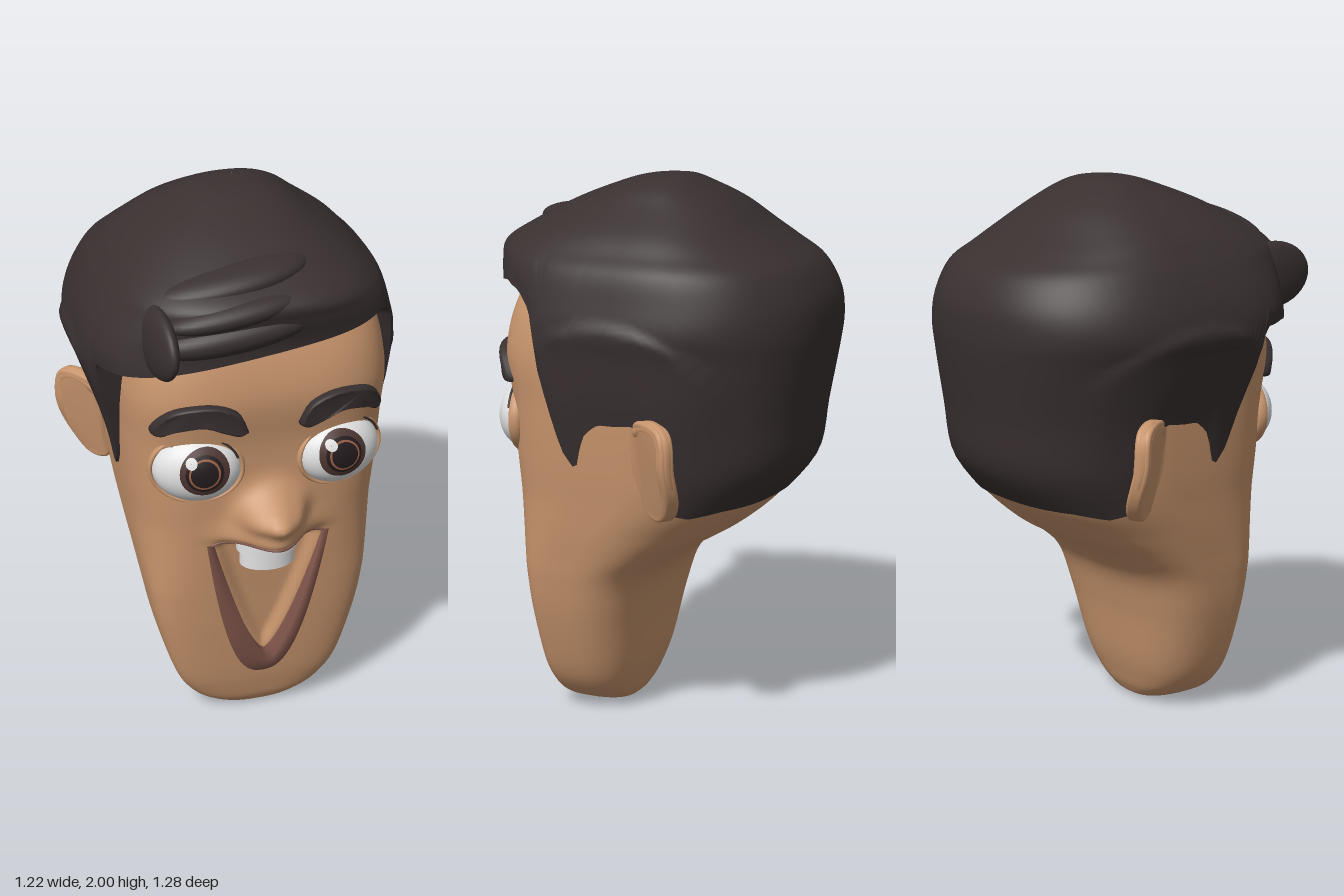
import * as THREE from 'three';
import { mergeVertices } from 'three/addons/utils/BufferGeometryUtils.js';

const paint = (name, color, side = THREE.FrontSide) => {
  const m = new THREE.MeshStandardMaterial({ color, side });
  m.name = name;
  return m;
};
const { smoothstep, lerp, clamp } = THREE.MathUtils;
const gauss = (d, s) => Math.exp(-((d / s) ** 2));
const sPow = (v, e) => Math.sign(v) * Math.abs(v) ** e;

// Skin sections: y, half width, front z, back z, front squareness (lower is squarer)
const skinSections = [
  [0, 0.001, 0.22, 0.219, 0.75], [0.005, 0.1, 0.31, 0.12, 0.74], [0.04, 0.19, 0.345, 0.085, 0.7],
  [0.1, 0.26, 0.365, 0.06, 0.64], [0.2, 0.315, 0.385, 0.03, 0.58], [0.4, 0.375, 0.41, -0.01, 0.54],
  [0.55, 0.405, 0.425, -0.06, 0.52], [0.65, 0.42, 0.435, -0.16, 0.52], [0.75, 0.435, 0.445, -0.32, 0.52],
  [0.87, 0.45, 0.455, -0.45, 0.52], [1, 0.465, 0.465, -0.52, 0.52], [1.2, 0.48, 0.475, -0.55, 0.52],
  [1.4, 0.485, 0.5, -0.56, 0.53], [1.6, 0.44, 0.45, -0.52, 0.56], [1.75, 0.32, 0.35, -0.4, 0.7], [1.83, 0.001, 0, -0.001, 0.75],
].map(([y, w, f, b, e]) => [y, w, w, f, b, lerp(b, f, clamp(0.76 - 0.3 * y, 0.5, 0.7)), e, y < 0.7 ? 0.7 : 0.85]);

// Hair sections: y, right width, left width, front z, back z, front squareness
const hairSections = [
  [0.83, 0.458, 0.458, 0.48, -0.43, 0.56], [1, 0.48, 0.48, 0.48, -0.565, 0.56], [1.2, 0.505, 0.498, 0.49, -0.6, 0.56],
  [1.4, 0.565, 0.512, 0.515, -0.63, 0.57], [1.5, 0.598, 0.524, 0.52, -0.637, 0.58], [1.6, 0.58, 0.505, 0.52, -0.625, 0.6],
  [1.7, 0.53, 0.475, 0.55, -0.57, 0.68], [1.76, 0.485, 0.42, 0.555, -0.48, 0.7], [1.82, 0.43, 0.36, 0.47, -0.385, 0.75],
  [1.9, 0.32, 0.25, 0.32, -0.28, 0.8], [1.96, 0.2, 0.17, 0.17, -0.17, 0.85], [1.99, 0.12, 0.09, 0.07, -0.1, 0.9],
  [2, 0.001, 0.001, -0.039, -0.041, 0.9],
].map(([y, r, l, f, b, e]) => [y, r, l, f, b, -0.04, e, 0.87]);

// Smooth section at a fractional index, and the index at a height
function sectionAt(list, u) {
  const i = Math.min(Math.floor(u), list.length - 2), t = u - i;
  const [a, b, c, d] = [-1, 0, 1, 2].map((k) => list[clamp(i + k, 0, list.length - 1)]);
  return b.map((p, k) => p + 0.5 * t * (c[k] - a[k] + t * (2 * a[k] - 5 * p + 4 * c[k] - d[k] + t * (3 * (p - c[k]) + d[k] - a[k]))));
}
function indexAt(list, y) {
  let lo = 0, hi = list.length - 1;
  for (let n = 0; n < 24; n++) {
    const mid = (lo + hi) / 2;
    if (sectionAt(list, mid)[0] < y) lo = mid; else hi = mid;
  }
  return lo;
}
function ringPoint([y, wr, wl, f, b, c, ef, eb], a) {
  const front = Math.cos(a) > 0, e = front ? ef : eb;
  const s = sPow(Math.sin(a), e), k = sPow(Math.cos(a), e);
  return [s * Math.max(0, s < 0 ? wr : wl), y, c + k * (front ? f - c : c - b)];
}

// Nose, upper lip and hollow mouth, as an offset in z
function relief(x, y) {
  const nose = 0.165 * gauss(x, 0.08) * gauss(y - 0.945, y > 0.945 ? 0.075 : 0.055);
  const wings = 0.045 * (gauss(x - 0.085, 0.04) + gauss(x + 0.085, 0.04)) * gauss(y - 0.94, 0.05);
  const lip = 0.14 * gauss(x, 0.12) * smoothstep(y, 0.8, 0.85) * gauss(y - 0.85, 0.06);
  const half = y > 0.3 ? 0.2 * ((y - 0.3) / 0.5) ** 0.7 : 0;
  const mouth = -0.03 * smoothstep(half - Math.abs(x), 0, 0.05) * (1 - smoothstep(y, 0.79, 0.83));
  return nose + wings + lip + mouth;
}
function faceZ(x, y, bumps = true) {
  const [, w, , f, , c, e] = sectionAt(skinSections, indexAt(skinSections, y));
  const r = Math.min(1, Math.abs(x) / w) ** (2 / e);
  return c + (f - c) * (1 - r) ** (e / 2) + (bumps ? relief(x, y) : 0);
}

// Closed surface wrapped round the y axis; point(angle, row) gives a position
function wrap(cols, rows, point) {
  const pos = [], index = [];
  for (let j = 0; j <= rows; j++) for (let i = 0; i < cols; i++) {
    const q = (i / cols) * 4, t = q % 1, p = t ** 1.6, r = (1 - t) ** 1.6;
    let a = (Math.floor(q) + p / (p + r)) * Math.PI / 2;
    if (a > Math.PI) a -= 2 * Math.PI;
    pos.push(...point(a, j));
    if (j < rows) {
      const A = j * cols + i, B = j * cols + (i + 1) % cols;
      index.push(A, B, B + cols, A, B + cols, A + cols);
    }
  }
  return surface(pos, index);
}
function surface(pos, index) {
  const g = new THREE.BufferGeometry();
  g.setAttribute('position', new THREE.Float32BufferAttribute(pos, 3));
  g.setIndex(index);
  g.computeVertexNormals();
  return g;
}
// Move vertices by a rule and smooth the result
function mapVertices(source, rule) {
  source.deleteAttribute('normal');
  source.deleteAttribute('uv');
  const g = mergeVertices(source), p = g.attributes.position;
  for (let i = 0; i < p.count; i++) p.setXYZ(i, ...rule(p.getX(i), p.getY(i), p.getZ(i)));
  g.computeVertexNormals();
  return g;
}

// Hairline height by degrees from the front: temple, sideburn, ear, nape
const hairline = [[40, 1.66], [58, 1.61], [66, 1.56], [69, 1.5], [69.6, 1.42], [72.5, 1.32], [75, 1.22], [79, 1.07],
  [83.5, 1], [84.8, 1.05], [85.8, 1.12], [89.2, 1.18], [97, 1.19], [106, 1], [111, 0.87], [124, 0.85], [141, 0.87], [180.1, 0.88]];
function hairlineAt(a) {
  const deg = Math.abs(a) * 180 / Math.PI;
  const front = 1.575 + 0.165 * 0.5 * sPow(Math.sin(a), 0.6);
  if (deg < 40) return front;
  const k = hairline.findIndex(([d]) => d > deg), [d0, y0] = hairline[k - 1], [d1, y1] = hairline[k];
  return Math.min(front, lerp(y0, y1, (deg - d0) / (d1 - d0)));
}

export function createModel() {
  const model = new THREE.Group();
  model.name = 'head';
  const skin = paint('skin', 0xc8956d), hair = paint('hair', 0x393030);
  const white = paint('white', 0xe2e2e2), iris = paint('iris', 0x4c3531);
  const ring = paint('irisRing', 0x9a5f45), pupil = paint('pupil', 0x241b1d);
  const lipRed = paint('lip', 0x80554a, THREE.DoubleSide);
  const add = (name, geo, mat, parent = model) => {
    const m = new THREE.Mesh(geo, mat);
    m.name = name;
    parent.add(m);
    return m;
  };

  // Face and skull
  const steps = 10, skinRows = (skinSections.length - 1) * steps;
  const rowSections = Array.from({ length: skinRows + 1 }, (_, j) => sectionAt(skinSections, j / steps));
  add('face', wrap(200, skinRows, (a, j) => {
    const [x, y, z] = ringPoint(rowSections[j], a);
    return [x, y, z + (Math.cos(a) > 0 ? relief(x, y) : 0)];
  }), skin);

  // Hair cap with raised side panels; its first row tucks into the skin
  const hairRows = 60, top = hairSections.length - 1;
  add('hairCap', wrap(200, hairRows, (a, j) => {
    const y0 = hairlineAt(a);
    if (j === 0) {
      const [x, y, z] = ringPoint(sectionAt(skinSections, indexAt(skinSections, y0)), a);
      return [x * 0.97, y, z * 0.97];
    }
    const t = Math.max(0, j - 2) / (hairRows - 2);
    const [x, y, z] = ringPoint(sectionAt(hairSections, lerp(indexAt(hairSections, y0), top, t)), a);
    const arc = 1.53 - 1.1 * (z + 0.02) ** 2;
    const panel = 0.014 * (1 - smoothstep(y, arc - 0.02, arc + 0.02)) * smoothstep(Math.abs(Math.sin(a)), 0.7, 0.9) * smoothstep(y, 1, 1.3);
    const taper = Math.abs(a) > 0.9 ? lerp(0.99, 1, smoothstep(t, 0, 0.08)) : 1;
    return [(x + Math.sign(x) * panel) * taper, y, z * taper];
  }), hair);

  // Swept rolls and the forelock over the brow
  const lock = (name, at, size, tilt, turn = 0) => {
    const m = add(name, new THREE.SphereGeometry(1, 32, 20), hair);
    m.position.set(...at);
    m.scale.set(...size);
    m.rotation.set(0, turn, tilt);
  };
  lock('lowerRoll', [-0.13, 1.65, 0.475], [0.28, 0.065, 0.09], 0.15, -0.06);
  lock('upperRoll', [-0.13, 1.735, 0.485], [0.24, 0.05, 0.09], 0.15);
  lock('topRoll', [-0.12, 1.8, 0.37], [0.27, 0.06, 0.13], 0.16);
  lock('forelock', [-0.39, 1.64, 0.44], [0.045, 0.12, 0.195], -0.06, 0.1);

  // Lower lip: a V-shaped band, turned out at the bottom
  const lipPos = [], lipIndex = [], n = 48;
  for (let i = 0; i <= n; i++) {
    const s = (i / n) * 2 - 1, m = Math.abs(s);
    const xo = 0.225 * sPow(s, 0.7), yo = 0.19 + 0.62 * m ** 1.75;
    const xi = 0.2 * s, yi = 0.3 + 0.51 * m ** 1.45, zi = faceZ(xi, yi, false);
    lipPos.push(xo, yo, faceZ(xo, yo, false) + 0.006, xi, yi, zi + 0.01 + 0.065 * (1 - s * s), xi, yi, zi - 0.05);
    if (i < n) for (const k of [0, 1]) {
      const A = i * 3 + k;
      lipIndex.push(A, A + 3, A + 4, A, A + 4, A + 1);
    }
  }
  add('lowerLip', surface(lipPos, lipIndex), lipRed);

  // Upper lip edge
  const edge = Array.from({ length: 25 }, (_, i) => {
    const s = i / 12 - 1, x = 0.22 * s, y = 0.85 - 0.05 * s * s;
    return new THREE.Vector3(x, y, faceZ(x, y) + 0.001);
  });
  add('upperLip', new THREE.TubeGeometry(new THREE.CatmullRomCurve3(edge), 60, 0.005, 8), lipRed);

  // Stepped front teeth
  for (const [name, r, h, y] of [['upperTeeth', 0.112, 0.08, 0.808], ['lowerTeeth', 0.1, 0.066, 0.74]]) {
    const t = add(name, new THREE.CylinderGeometry(r, r, h, 40), white);
    t.position.set(0, y, 0.43);
    t.scale.z = 0.7;
  }

  const loopShape = (pts) => new THREE.Shape(
    new THREE.SplineCurve([...pts, pts[0]].map((p) => new THREE.Vector2(...p))).getPoints(44).slice(0, -1));
  const browPoints = [[0.1, 1.29], [0.135, 1.36], [0.22, 1.392], [0.32, 1.382], [0.375, 1.345], [0.405, 1.29],
    [0.385, 1.282], [0.34, 1.31], [0.25, 1.328], [0.175, 1.3], [0.125, 1.28]];
  const earShape = loopShape([[0, 1.17], [0.03, 1.2], [0.13, 1.205], [0.19, 1.18],
    [0.205, 1.09], [0.185, 0.97], [0.12, 0.885], [0.04, 0.875], [0, 0.93]]);

  for (const s of [1, -1]) {
    const side = s > 0 ? 'left' : 'right';

    // Eyebrow bent to the forehead
    const brow = new THREE.ExtrudeGeometry(loopShape(browPoints.map(([x, y]) => [s * x, y])),
      { depth: 0.025, bevelSize: 0.008, bevelThickness: 0.014, bevelSegments: 3 });
    add(side + 'Eyebrow', mapVertices(brow, (x, y, z) => [x, y, z + faceZ(x, y, false) - 0.006]), hair);

    // Eye: white, lids and discs bent to its surface
    const eye = new THREE.Group();
    eye.name = side + 'Eye';
    eye.position.set(s * 0.255, 1.13, 0.425);
    eye.rotation.y = s * 0.22;
    model.add(eye);
    const [ex, ey, ez] = [0.155, 0.125, 0.1];
    add('eyeWhite', new THREE.SphereGeometry(1, 40, 28), white, eye).scale.set(ex, ey, ez);
    const lid = add('eyelids', new THREE.TorusGeometry(1, 0.06, 12, 56), skin, eye);
    lid.scale.set(ex * 1.03, ey * 1.04, 0.35);
    lid.position.z = 0.005;
    const lash = add('lashLine', new THREE.TorusGeometry(1, 0.03, 8, 40, Math.PI * 0.8), hair, eye);
    lash.rotation.z = Math.PI * 0.1;
    lash.scale.set(0.15, 0.122, 0.15);
    lash.position.z = 0.03;
    const disc = (name, r0, r1, cx, cy, lift, mat) => add(name, mapVertices(new THREE.RingGeometry(r0, r1, 40, 5), (x, y) => {
      const px = x + cx, py = y + cy;
      return [px, py, ez * Math.sqrt(Math.max(0, 1 - (px / ex) ** 2 - (py / ey) ** 2)) + lift];
    }), mat, eye);
    const cx = -s * 0.027, cy = 0.02;
    disc('iris', 0.001, 0.086, cx, cy, 0.002, iris);
    disc('pupil', 0.001, 0.066, cx, cy, 0.004, pupil);
    disc('irisRing', 0.048, 0.055, cx, cy, 0.006, ring);
    disc('glint', 0.001, 0.02, cx - 0.045, cy + 0.042, 0.008, white);

    // Ear flaring out and back, its lobe curving in to the head
    const ear = new THREE.Group();
    ear.name = side + 'Ear';
    ear.position.set(s * 0.468, 0, -0.13);
    ear.rotation.y = s > 0 ? 0.95 : Math.PI - 0.95;
    model.add(ear);
    const bend = (x, y, z) => [x, y, z - s * 0.05 * (1 - smoothstep(y, 0.87, 1.1))];
    const flap = new THREE.ExtrudeGeometry(earShape, { depth: 0.03, bevelSize: 0.012, bevelThickness: 0.012, bevelSegments: 4 });
    add('earFlap', mapVertices(flap.translate(0, 0, -0.015), bend), skin, ear);
    const rim = new THREE.CatmullRomCurve3([[0.01, 1.17], [0.06, 1.19], [0.13, 1.195], [0.18, 1.17], [0.192, 1.09], [0.17, 0.98], [0.11, 0.9]]
      .map(([x, y]) => new THREE.Vector3(x, y, 0)));
    add('earRim', mapVertices(new THREE.TubeGeometry(rim, 40, 0.029, 10), bend), skin, ear);
  }
  return model;
}
